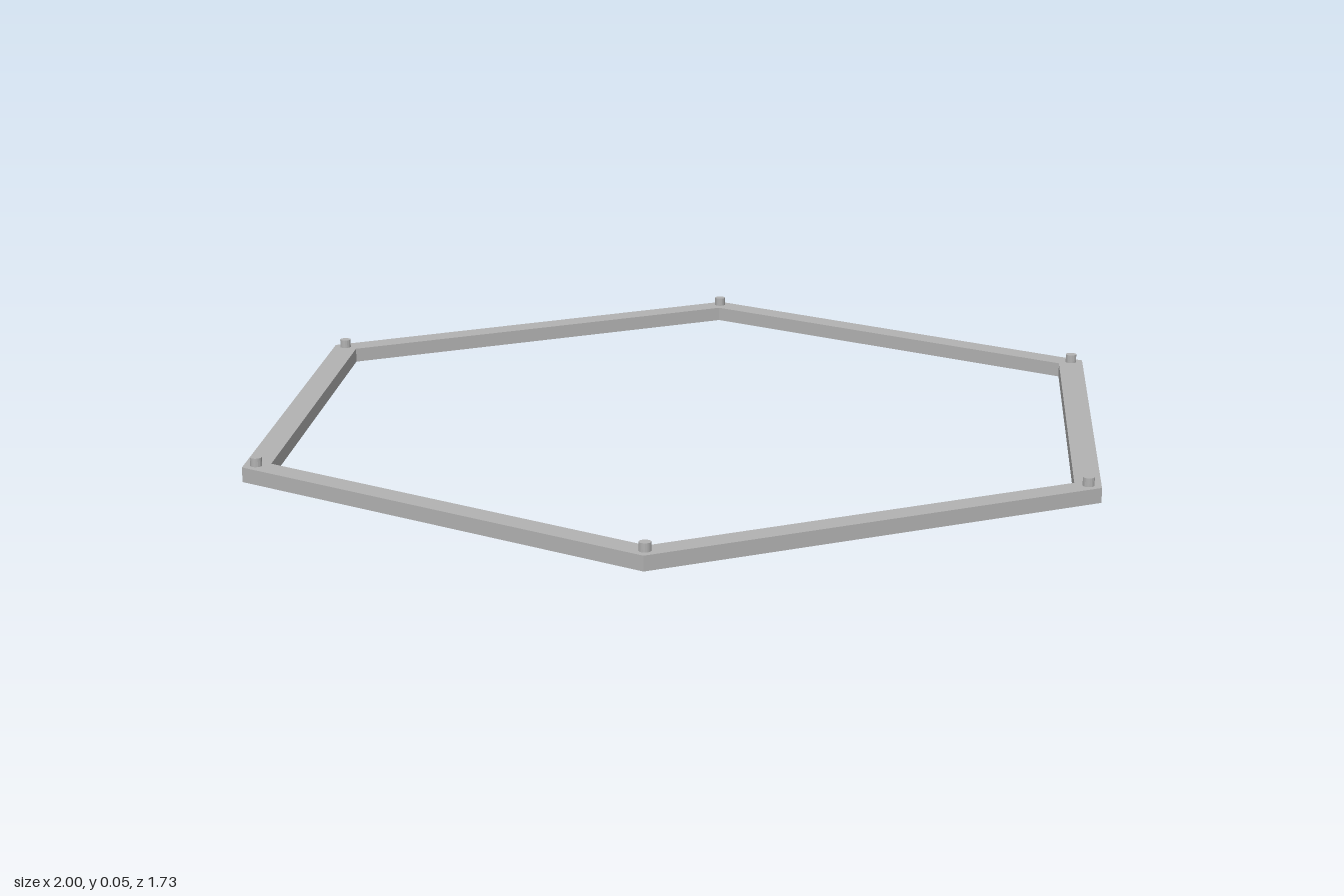
import * as THREE from 'three';

const HEIGHT = 0.031, OUTER = 1, INNER = 0.938;
const PEG_RADIUS = 0.012, PEG_TOP = 0.049, SOCKET_DEPTH = 0.017, PEG_DISTANCE = 0.97;

// Revolved profile with one flat normal per face
function facetedLathe(profile, sides) {
  const points = profile.map(([x, y]) => new THREE.Vector2(x, y));
  const geometry = new THREE.LatheGeometry(points, sides, Math.PI / 2).toNonIndexed();
  geometry.computeVertexNormals();
  return geometry;
}

// The six corners of a hexagon with points on the x axis
function hexCorners(radius) {
  return Array.from({ length: 6 }, (_, i) => {
    const a = (i * Math.PI) / 3;
    return new THREE.Vector2(Math.cos(a) * radius, Math.sin(a) * radius);
  });
}

export function createModel() {
  const group = new THREE.Group();
  const grey = new THREE.MeshStandardMaterial({ color: 0xb2b2b2 });
  grey.name = 'grey';

  const add = (name, geometry, x = 0, z = 0) => {
    const mesh = new THREE.Mesh(geometry, grey);
    mesh.name = name;
    mesh.position.set(x, 0, z);
    group.add(mesh);
  };

  // Hexagonal frame: outer walls, top and inner walls
  add('hexFrame', facetedLathe([[OUTER, 0], [OUTER, HEIGHT], [INNER, HEIGHT], [INNER, 0]], 6));

  // Underside, pierced at each corner for the sockets
  const corners = hexCorners(PEG_DISTANCE);
  const underside = new THREE.Shape(hexCorners(OUTER));
  underside.holes.push(new THREE.Path(hexCorners(INNER)));
  for (const c of corners) {
    underside.holes.push(new THREE.Path().absarc(c.x, c.y, PEG_RADIUS, 0, Math.PI * 2, true));
  }
  add('frameUnderside', new THREE.ShapeGeometry(underside, 8).rotateX(Math.PI / 2));

  // Locating peg on top and matching blind socket below each corner
  const peg = facetedLathe([[PEG_RADIUS, HEIGHT], [PEG_RADIUS, PEG_TOP], [0, PEG_TOP]], 16);
  const socket = facetedLathe([[0, SOCKET_DEPTH], [PEG_RADIUS, SOCKET_DEPTH], [PEG_RADIUS, 0]], 16);
  corners.forEach((c, i) => {
    add(`peg${i + 1}`, peg, c.x, c.y);
    add(`socket${i + 1}`, socket, c.x, c.y);
  });

  return group;
}
